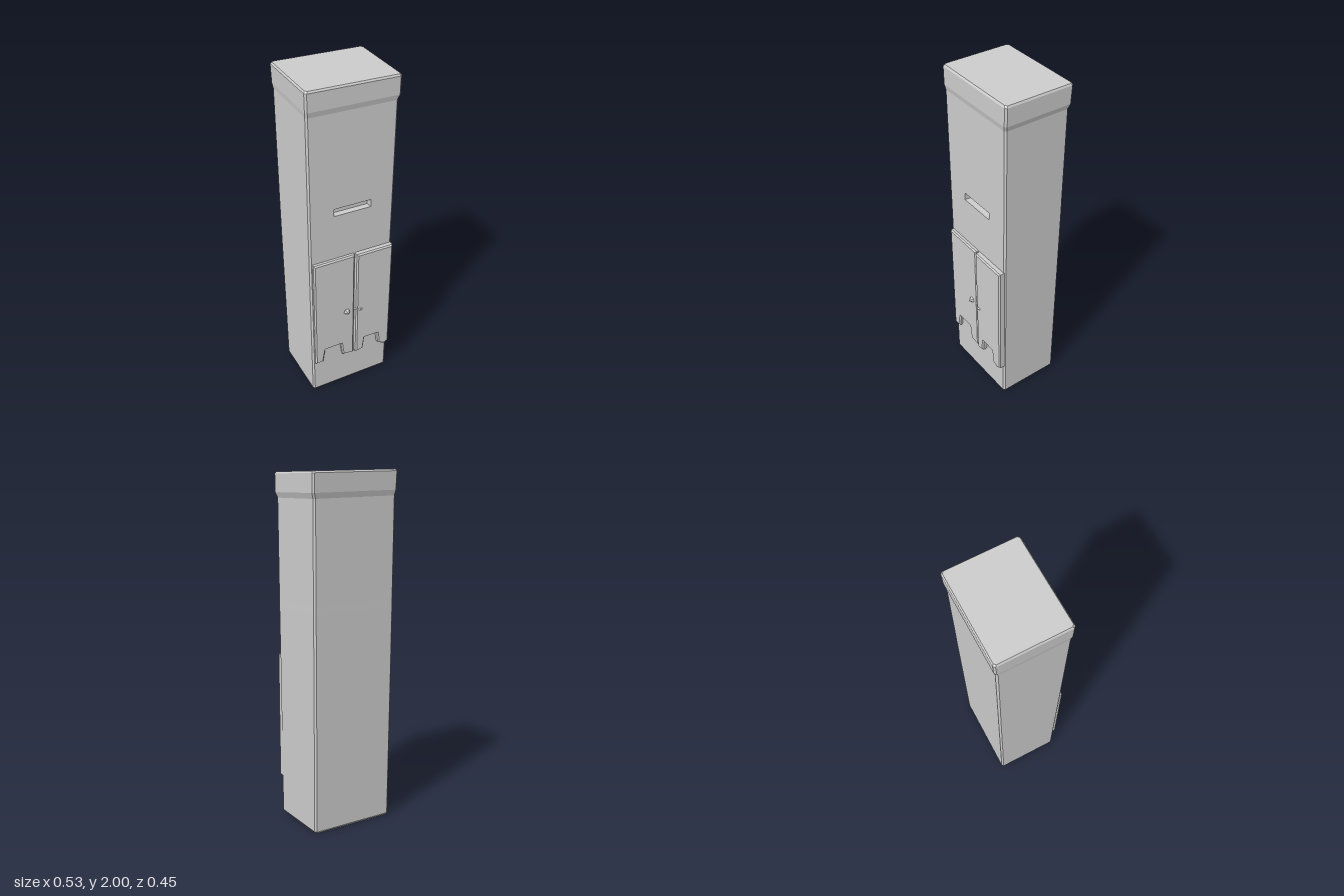
import * as THREE from 'three';

const material = new THREE.MeshStandardMaterial({ color: 0xcccccc, flatShading: true });
const SLOT_X = [-0.115, 0.11];
const CHAMFER = 0.01;

// Cabinet levels: height, left x, right x, front z, back z
const LEVELS = [
  [0, -0.247, 0.237, 0.172, -0.192],
  [0.012, -0.257, 0.246, 0.181, -0.2],
  [0.95, -0.262, 0.25, 0.18, -0.208],
  [1.253, -0.263, 0.252, 0.18, -0.21],
  [1.298, -0.263, 0.252, 0.18, -0.21],
  [1.86, -0.264, 0.254, 0.18, -0.214],
  [1.89, -0.268, 0.265, 0.187, -0.222],
  [1.99, -0.269, 0.266, 0.187, -0.227],
  [2, -0.262, 0.26, 0.18, -0.22],
];
const SLOT_LEVEL = 3;

// Chamfered rectangle with two extra points for the slot; the height tilts slightly in x
function ring([y, x0, x1, z0, z1]) {
  const c = CHAMFER;
  const points = [
    [x0 + c, z0], [SLOT_X[0], z0], [SLOT_X[1], z0], [x1 - c, z0], [x1, z0 - c],
    [x1, z1 + c], [x1 - c, z1], [x0 + c, z1], [x0, z1 + c], [x0, z0 - c],
  ];
  return points.map(([x, z]) => new THREE.Vector3(x, y - 0.014 * (x + 0.265) * y, z));
}

function facesMesh(name, triangles) {
  const geometry = new THREE.BufferGeometry().setFromPoints(triangles);
  geometry.computeVertexNormals();
  const mesh = new THREE.Mesh(geometry, material);
  mesh.name = name;
  return mesh;
}

const quad = (a, b, c, d) => [a, b, c, a, c, d];

// Closed cabinet shell, left open at the slot
function makeCabinet(rings) {
  const out = [];
  const n = rings[0].length;
  for (let k = 0; k < rings.length - 1; k++) {
    for (let i = 0; i < n; i++) {
      if (k === SLOT_LEVEL && i === 1) continue;
      const j = (i + 1) % n;
      out.push(...quad(rings[k][i], rings[k][j], rings[k + 1][j], rings[k + 1][i]));
    }
  }
  const bottom = rings[0];
  const top = rings[rings.length - 1];
  for (let i = 1; i < n - 1; i++) {
    const a = (4 + i) % n;
    const b = (5 + i) % n;
    out.push(top[4], top[a], top[b], bottom[4], bottom[b], bottom[a]);
  }
  return facesMesh('cabinet', out);
}

// Recess behind the slot opening
function makeSlot(rings) {
  const low = rings[SLOT_LEVEL];
  const high = rings[SLOT_LEVEL + 1];
  const outer = [low[1], low[2], high[2], high[1]];
  const inner = outer.map((p) => new THREE.Vector3(p.x * 0.97, p.y, p.z - 0.035));
  const out = quad(...inner);
  for (let i = 0; i < 4; i++) {
    const j = (i + 1) % 4;
    out.push(...quad(outer[i], outer[j], inner[j], inner[i]));
  }
  return facesMesh('slotRecess', out);
}

// Raised door with a notched lower edge and bevelled rim
function makeDoor(name, outline, frontZ) {
  const shape = new THREE.Shape(outline.map(([x, y]) => new THREE.Vector2(x, y)));
  const bevel = 0.008;
  const base = 0.17;
  const geometry = new THREE.ExtrudeGeometry(shape, {
    depth: frontZ - base - bevel, bevelEnabled: true, bevelThickness: bevel,
    bevelSize: bevel, bevelOffset: -bevel, bevelSegments: 1,
  });
  const door = new THREE.Mesh(geometry, material);
  door.position.z = base;
  door.name = name;
  return door;
}

// Pointed faceted knob
function makeKnob(name, sides, width, height, x, y, tipZ) {
  const depth = 0.03;
  const geometry = new THREE.ConeGeometry(1, depth, sides).rotateX(Math.PI / 2);
  const knob = new THREE.Mesh(geometry, material);
  knob.scale.set(width, height, 1);
  knob.position.set(x, y, tipZ - depth / 2);
  knob.name = name;
  return knob;
}

export function createModel() {
  const model = new THREE.Group();
  model.name = 'tallCabinet';
  const rings = LEVELS.map(ring);
  model.add(makeCabinet(rings), makeSlot(rings));

  model.add(
    makeDoor('rightDoor', [
      [-0.248, 0.235], [-0.197, 0.235], [-0.182, 0.325], [-0.078, 0.325],
      [-0.066, 0.235], [0.006, 0.226], [0.006, 0.968], [-0.248, 0.972],
    ], 0.203),
    makeDoor('leftDoor', [
      [0.016, 0.23], [0.067, 0.237], [0.077, 0.322], [0.165, 0.318],
      [0.174, 0.235], [0.215, 0.212], [0.244, 0.228], [0.244, 0.964], [0.016, 0.968],
    ], 0.212),
  );

  model.add(
    makeKnob('rightKnob', 5, 0.027, 0.026, -0.043, 0.572, 0.226),
    makeKnob('leftKnob', 4, 0.04, 0.015, 0.039, 0.568, 0.226),
  );
  return model;
}
